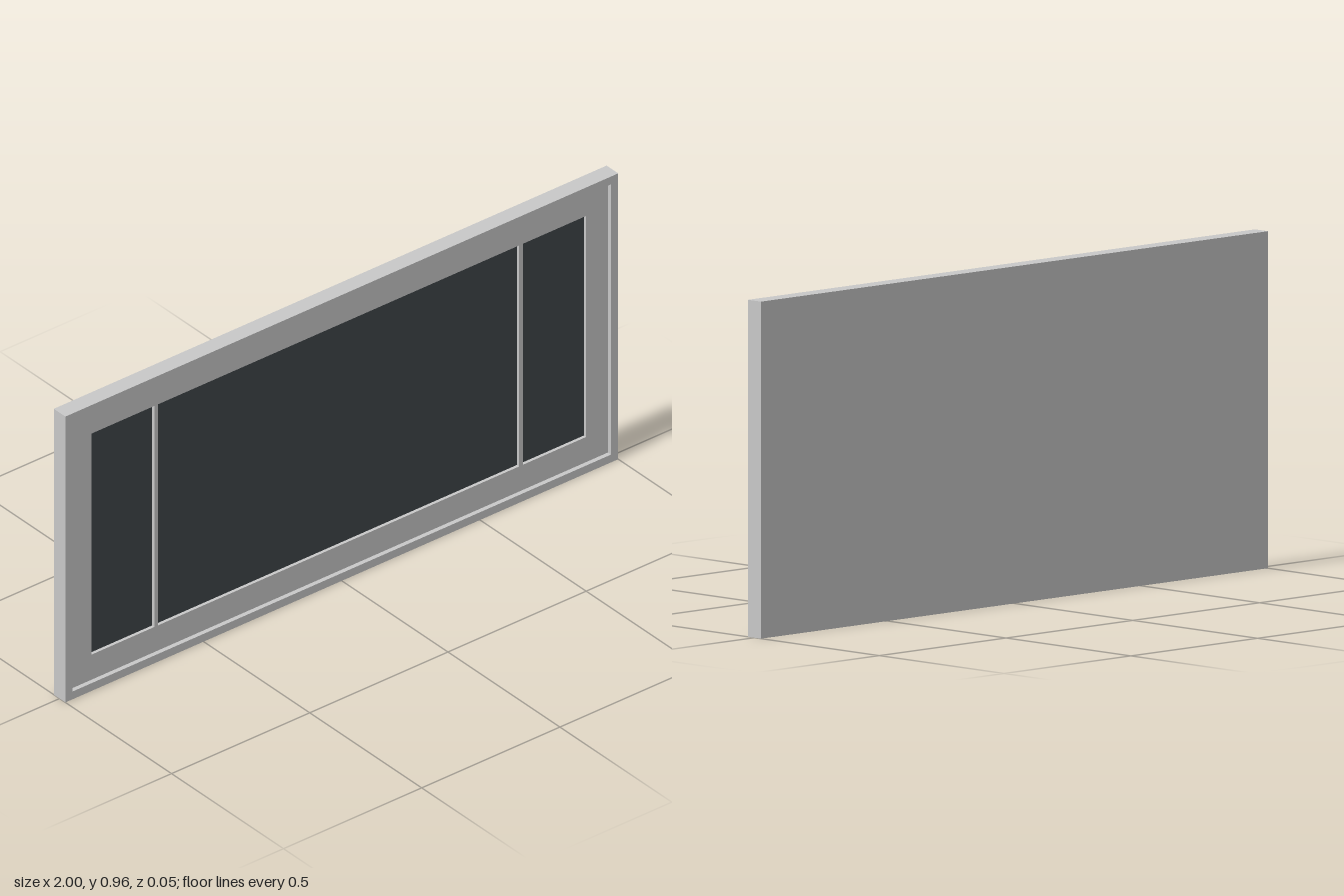
import * as THREE from 'three';

const W = 2, H = 0.957, BACK = -0.026, FRONT = 0.026;
const INNER_FRONT = 0.012, GLASS_FRONT = 0.002;
const RIM = 0.026;
const OPEN = { x: 0.895, y0: 0.11, y1: 0.85 }; // glazed opening
const BAR_X = 0.66, BAR_W = 0.014;

function rectPoints(x0, x1, y0, y1) {
  return [[x0, y0], [x1, y0], [x1, y1], [x0, y1]].map(([x, y]) => new THREE.Vector2(x, y));
}

// Flat plate with rectangular holes, spanning z0 to z1
function plate(outer, holes, z0, z1) {
  const shape = new THREE.Shape(rectPoints(...outer));
  for (const h of holes) shape.holes.push(new THREE.Path(rectPoints(...h).reverse()));
  const geo = new THREE.ExtrudeGeometry(shape, { depth: z1 - z0, bevelEnabled: false });
  return geo.translate(0, 0, z0);
}

export function createModel() {
  const group = new THREE.Group();
  group.name = 'framedWindow';
  const frameMat = new THREE.MeshStandardMaterial({ color: 0xc8c8c8 });
  frameMat.name = 'lightGrey';
  const glassMat = new THREE.MeshStandardMaterial({ color: 0x40464a });
  glassMat.name = 'darkGlass';

  const add = (name, geo, mat) => {
    const mesh = new THREE.Mesh(geo, mat);
    mesh.name = name;
    group.add(mesh);
  };

  const outer = [-W / 2, W / 2, 0, H];
  const inner = [-W / 2 + RIM, W / 2 - RIM, RIM, H - RIM];

  // Raised outer rim, full depth
  add('outerRim', plate(outer, [inner], BACK, FRONT), frameMat);

  // Solid backing closing the rear
  add('backPanel', plate(inner, [], BACK, GLASS_FRONT - 0.006), frameMat);

  // Recessed inner frame; the strips between its three openings are the bars
  const b0 = BAR_X - BAR_W / 2, b1 = BAR_X + BAR_W / 2;
  const panes = [[-OPEN.x, -b1], [-b0, b0], [b1, OPEN.x]]
    .map(([x0, x1]) => [x0, x1, OPEN.y0, OPEN.y1]);
  add('innerFrame', plate(inner, panes, GLASS_FRONT - 0.006, INNER_FRONT), frameMat);

  // Dark panes set into the openings
  const names = ['rightPane', 'centrePane', 'leftPane'];
  panes.forEach((p, i) => add(names[i], plate(p, [], GLASS_FRONT - 0.006, GLASS_FRONT), glassMat));

  return group;
}
